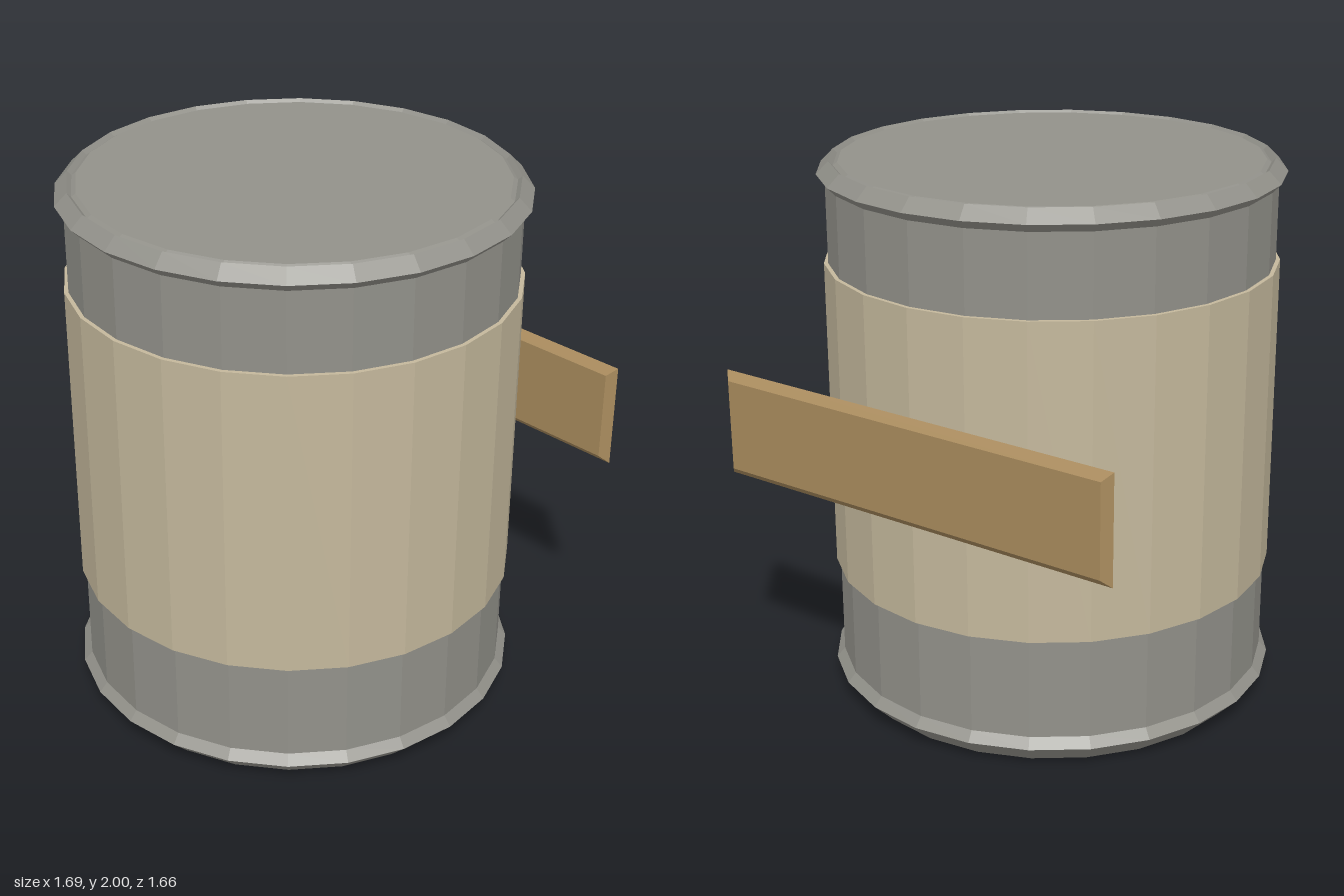
import * as THREE from 'three';

const SIDES = 24;

function material(color) {
  return new THREE.MeshStandardMaterial({ color, flatShading: true });
}

// Faceted solid of revolution from [radius, height] pairs, bottom to top
function turned(name, profile, mat) {
  const points = profile.map(([r, y]) => new THREE.Vector2(r, y));
  const mesh = new THREE.Mesh(new THREE.LatheGeometry(points, SIDES), mat);
  mesh.name = name;
  return mesh;
}

// Plank whose middle cross-section is widest, tapering to both broad faces
function bevelledPlank(thickness, height, length, bevel) {
  const geometry = new THREE.BoxGeometry(thickness, height, length, 2, 1, 1);
  const p = geometry.attributes.position;
  for (let i = 0; i < p.count; i++) {
    if (Math.abs(p.getX(i)) < thickness / 4) continue;
    p.setY(i, p.getY(i) - Math.sign(p.getY(i)) * bevel);
    p.setZ(i, p.getZ(i) - Math.sign(p.getZ(i)) * bevel);
  }
  geometry.computeVertexNormals();
  return geometry;
}

export function createModel() {
  const model = new THREE.Group();
  const metal = material(0x92918a);
  const paper = material(0xc4b89c);
  const wood = material(0xa98b5d);

  const can = new THREE.Group();
  can.name = 'can';
  can.position.x = -0.015;
  model.add(can);

  // Metal shell with flared rims and a shallow groove around the lid
  can.add(turned('shell', [
    [0, 0], [0.75, 0], [0.83, 0.08], [0.8, 0.115],
    [0.8, 1.925], [0.83, 1.955], [0.785, 2],
    [0.77, 1.985], [0.755, 1.995], [0, 1.995],
  ], metal));

  // Wrapped band, slightly proud of the shell
  can.add(turned('band', [
    [0.79, 0.49], [0.815, 0.49], [0.815, 1.635], [0.79, 1.635],
  ], paper));

  // Flat bar fixed across the left side
  const bar = new THREE.Mesh(bevelledPlank(0.06, 0.395, 1.66, 0.03), wood);
  bar.name = 'sideBar';
  bar.position.set(0.815, 1.0625, 0);
  model.add(bar);

  return model;
}
